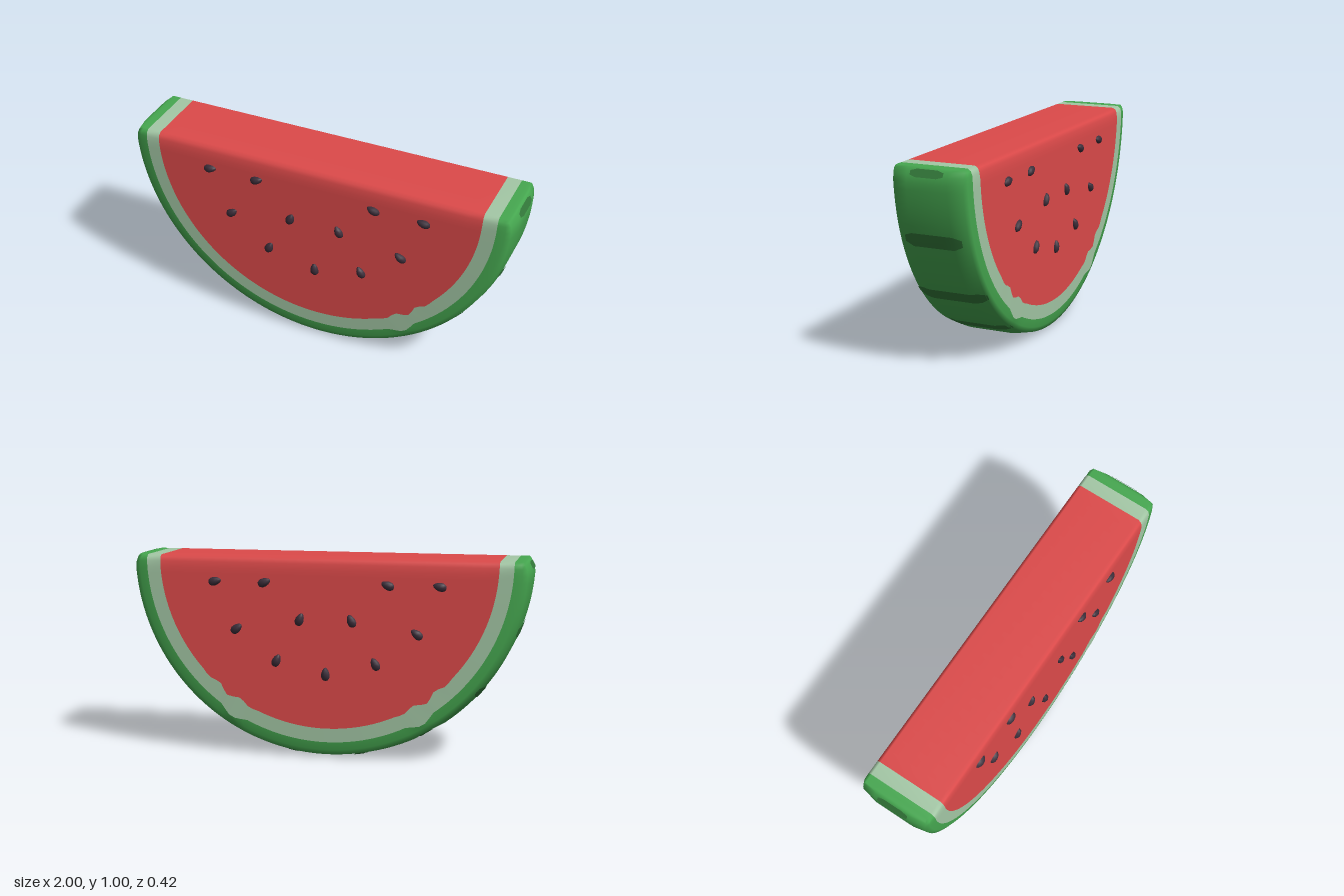
import * as THREE from 'three';
import { mergeGeometries, mergeVertices } from 'three/addons/utils/BufferGeometryUtils.js';

const rad = THREE.MathUtils.degToRad;
const { lerp, clamp } = THREE.MathUtils;

// Half thickness against radius, then the outer skin at radius 1
const SKIN = [[0.85, 0.19], [0.92, 0.188], [0.96, 0.183], [0.985, 0.172], [1, 0.1]];
// Rounding of the cut edge: half thickness against depth below the top
const EDGE = [[0, 0.165], [0.01, 0.18], [0.035, 0.188], [0.06, 0.19]];

function sample(table, x) {
  if (x <= table[0][0]) return table[0][1];
  for (let i = 1; i < table.length; i++) {
    const [x0, y0] = table[i - 1], [x1, y1] = table[i];
    if (x <= x1) return lerp(y0, y1, (x - x0) / (x1 - x0));
  }
  return table[table.length - 1][1];
}

// Angles down from the cut, fine near the edge
const ANGLES = [0, 0.7];
for (let a = 2; a <= 90; a += 2) ANGLES.push(a);
// Rows run up the back, over the top and down the front
const ROWS = [
  ...[...ANGLES].reverse().map(a => ({ a, face: -1 })),
  ...ANGLES.map(a => ({ a, face: 1 })),
];

// Small chips in the rind, on three of the four lower corners
function chip(r, a, side, face) {
  if (a < 42 || a > 66 || (side < 0 && face > 0)) return 0;
  const k = (a - 42) / 24;
  if (r < 0.9) return 0.015 * Math.sin(k * Math.PI * 5) * Math.sin(k * Math.PI);
  const hump = Math.max(0, 1 - Math.abs(a - 59) / 5);
  return r < 0.95 ? 0.03 * hump : r < 0.99 ? 0 : -0.008 * hump;
}

// A point of the slice at radius r and angle a, on the side +x or -x
function slicePoint(r, a, side, face) {
  const depth = r * Math.sin(rad(a));
  let rr = r + chip(r, a, side, face);
  if (r > 0.93) rr -= 0.025 * clamp(1 - depth / 0.045, 0, 1) * (r - 0.92) / 0.08;
  const z = Math.min(sample(SKIN, r), sample(EDGE, depth));
  return new THREE.Vector3(side * rr * Math.cos(rad(a)), 1 - rr * Math.sin(rad(a)), face * z);
}

// Surface over a grid of points
function grid(us, vs, point) {
  const pos = [], index = [], n = us.length;
  vs.forEach(v => us.forEach(u => pos.push(...point(u, v).toArray())));
  for (let j = 0; j < vs.length - 1; j++) {
    for (let i = 0; i < n - 1; i++) {
      const p = j * n + i;
      index.push(p, p + n, p + 1, p + 1, p + n, p + n + 1);
    }
  }
  const g = new THREE.BufferGeometry();
  g.setAttribute('position', new THREE.Float32BufferAttribute(pos, 3));
  g.setIndex(index);
  return g;
}

function smooth(parts) {
  const g = mergeVertices(mergeGeometries(parts), 1e-4);
  g.computeVertexNormals();
  return g;
}

// Both halves of a ring between the given radii
function ring(radii) {
  const half = (side, list) => grid(list, ROWS, (r, v) => slicePoint(r, v.a, side, v.face));
  return [half(1, radii), half(-1, [...radii].reverse())];
}

// Outer skin point at height z across the rind, angle 0 to 180
function skinPoint(z, angle, lift = 0) {
  const side = angle > 90 ? -1 : 1;
  const face = z < 0 ? -1 : 1;
  const az = Math.abs(z);
  const r = az <= 0.1 ? 1 : lerp(1, 0.985, Math.min(1, (az - 0.1) / 0.072));
  const rr = az > 0.172 ? lerp(0.985, 0.96, (az - 0.172) / 0.011) : r;
  const p = slicePoint(rr, side > 0 ? angle : 180 - angle, side, face);
  p.z = z * (1 + lift * 5);
  p.x += lift * Math.cos(rad(angle));
  p.y -= lift * Math.sin(rad(angle));
  return p;
}

// Thin dark band across the rind, narrowing at both ends
function stripe(angle, halfWidth, reach) {
  const zs = [reach, 0.172, 0.14, 0.1, 0.05, -0.05, -0.1, -0.14, -0.172, -reach]
    .filter((z, i) => i === 0 || i === 9 || Math.abs(z) < reach - 0.005);
  const g = grid(zs, [-1, 0, 1], (z, k) => {
    const w = Math.abs(z) === reach ? 0.5 : 1;
    return skinPoint(z, angle + k * halfWidth * w, 0.004);
  });
  g.computeVertexNormals();
  return g;
}

export function createModel() {
  const model = new THREE.Group();
  model.name = 'watermelonSlice';

  const material = (name, color) => {
    const m = new THREE.MeshStandardMaterial({ color });
    m.name = name;
    return m;
  };
  const red = material('fleshRed', 0xdd4a4a);
  const pale = material('paleRind', 0xa4c8a6);
  const green = material('rindGreen', 0x46a850);
  const dark = material('stripeGreen', 0x33793a);
  const seedColor = material('seedDark', 0x3c2e3a);

  const add = (name, geometry, mat, parent = model) => {
    const mesh = new THREE.Mesh(geometry, mat);
    mesh.name = name;
    parent.add(mesh);
    return mesh;
  };

  // Flesh: rows stretched between the left and right inner rind
  const across = Array.from({ length: 25 }, (_, i) => i / 24);
  add('flesh', smooth([grid(across, ROWS, (t, v) =>
    slicePoint(0.85, v.a, -1, v.face).lerp(slicePoint(0.85, v.a, 1, v.face), t))]), red);

  // Pale inner rind
  add('innerRind', smooth(ring([0.85, 0.92])), pale);

  // Green outer rind: rounded sides and the skin between them
  const around = [...ANGLES, ...ANGLES.slice(0, -1).reverse().map(a => 180 - a)];
  const skin = grid([1, -1], around, (face, a) =>
    slicePoint(1, a > 90 ? 180 - a : a, a > 90 ? -1 : 1, face));
  add('outerRind', smooth([...ring([0.92, 0.96, 0.985, 1]), skin]), green);

  // Stripes, shorter toward the tips
  const stripes = new THREE.Group();
  stripes.name = 'stripes';
  model.add(stripes);
  for (let a = 20; a <= 160; a += 20) {
    const tip = a === 20 || a === 160;
    add('stripe', stripe(a, 2, tip ? 0.14 : 0.175), dark, stripes);
  }
  for (const a of [1.4, 178.6]) add('tipStripe', stripe(a, 1, 0.08), dark, stripes);

  // Seeds point at the middle of the cut, on both faces
  const seeds = new THREE.Group();
  seeds.name = 'seeds';
  model.add(seeds);
  const seedShape = new THREE.SphereGeometry(1, 8, 6);
  const p = seedShape.attributes.position;
  for (let i = 0; i < p.count; i++) {
    const taper = 1 - 0.25 * p.getY(i);
    p.setX(i, p.getX(i) * taper);
  }
  seedShape.scale(0.022, 0.034, 0.021);
  seedShape.computeVertexNormals();
  const spots = [[0.565, 0.875], [0.31, 0.875], [0.13, 0.695], [0.455, 0.64], [0.25, 0.485], [0, 0.425]];
  for (const face of [1, -1]) {
    for (const [x, y] of spots) {
      for (const side of x ? [1, -1] : [1]) {
        const seed = add('seed', seedShape, seedColor, seeds);
        seed.position.set(side * x, y, face * 0.189);
        seed.rotation.z = Math.atan2(side * x, 1 - y);
      }
    }
  }
  return model;
}
